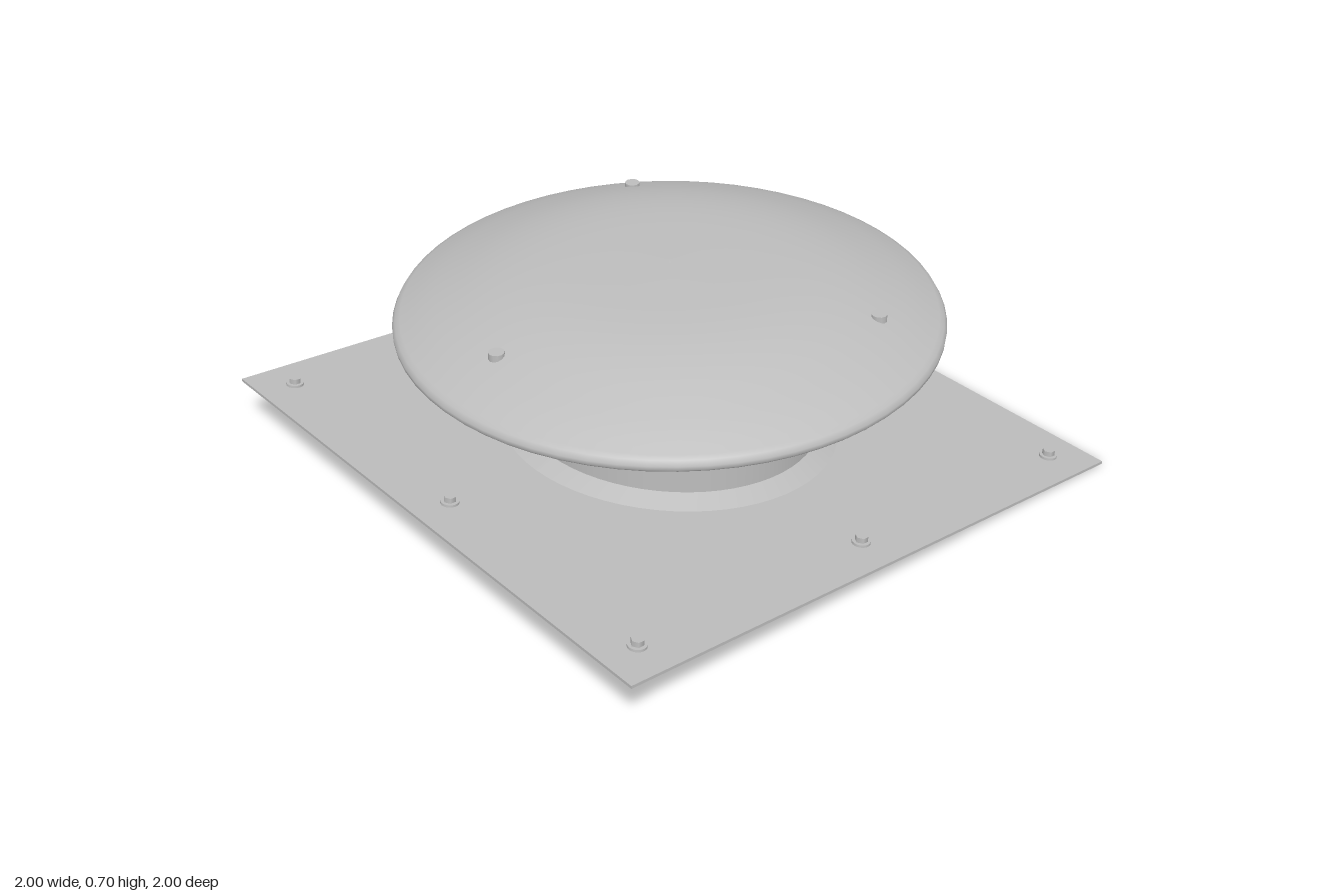
import * as THREE from 'three';

const SLOPE = 0.095; // the base plate rises towards the front
const SEGMENTS = 64;
const plateTop = (z) => 0.105 + SLOPE * z;

const metal = new THREE.MeshStandardMaterial({ color: 0xbdbdbd, side: THREE.DoubleSide });
metal.name = 'galvanised metal';

function add(parent, name, geometry) {
  const mesh = new THREE.Mesh(geometry, metal);
  mesh.name = name;
  parent.add(mesh);
  return mesh;
}

// Moves vertices up or down by a rule on (y, z) and refreshes the normals
function moveY(geometry, rule, recompute = true) {
  const p = geometry.attributes.position;
  for (let i = 0; i < p.count; i++) p.setY(i, rule(p.getY(i), p.getZ(i)));
  if (recompute) geometry.computeVertexNormals();
  return geometry;
}

// Hexagonal bolt on a round washer, standing on y = 0
function createBolt() {
  const bolt = new THREE.Group();
  bolt.name = 'plateBolt';
  add(bolt, 'washer', new THREE.CylinderGeometry(0.029, 0.029, 0.008, 20)).position.y = 0.004;
  add(bolt, 'boltHead', new THREE.CylinderGeometry(0.02, 0.02, 0.018, 6)).position.y = 0.016;
  return bolt;
}

// Domed cap: hollow underside, rolled rim, then the outer skin
function createCap() {
  const v = (x, y) => new THREE.Vector2(x, y);
  const inner = new THREE.SplineCurve([
    v(0, 0.692), v(0.34, 0.682), v(0.55, 0.649), v(0.73, 0.588), v(0.845, 0.53),
  ]).getPoints(20);
  const rim = [v(0.846, 0.512), v(0.855, 0.505), v(0.865, 0.507), v(0.872, 0.515), v(0.873, 0.528)];
  const outer = new THREE.SplineCurve([
    v(0.864, 0.544), v(0.74, 0.601), v(0.55, 0.664), v(0.34, 0.695), v(0, 0.705),
  ]).getPoints(20);
  return new THREE.LatheGeometry([...inner, ...rim, ...outer], SEGMENTS);
}

// Thin bracket from the pipe wall to the cap, drawn as (radius, height)
function createBracket() {
  const outline = [[0.484, 0.24], [0.502, 0.24], [0.695, 0.607], [0.62, 0.632], [0.484, 0.325]];
  const shape = new THREE.Shape(outline.map(([x, y]) => new THREE.Vector2(x, y)));
  const geometry = new THREE.ExtrudeGeometry(shape, { depth: 0.014, bevelEnabled: false });
  return geometry.translate(0, 0, -0.007);
}

export function createModel() {
  const model = new THREE.Group();
  model.name = 'roofVent';

  // Sloping base plate
  add(model, 'basePlate', moveY(new THREE.BoxGeometry(2, 0.01, 2), (y, z) => y + 0.1 + SLOPE * z));

  // Flared collar lying on the plate
  add(model, 'collar', moveY(
    new THREE.CylinderGeometry(0.487, 0.55, 0.03, SEGMENTS, 1, true),
    (y, z) => y + 0.015 + plateTop(z),
  ));

  // Upright pipe, its lower end cut along the plate
  add(model, 'pipe', moveY(
    new THREE.CylinderGeometry(0.485, 0.485, 1, SEGMENTS, 1, true),
    (y, z) => (y > 0 ? 0.515 : plateTop(z)),
    false,
  ));

  // Bead around the pipe
  const bead = add(model, 'pipeBead', new THREE.TorusGeometry(0.49, 0.016, 10, SEGMENTS));
  bead.rotation.x = Math.PI / 2;
  bead.position.y = 0.273;

  add(model, 'cap', createCap());

  // Three brackets, each bolted through the cap
  for (let i = 0; i < 3; i++) {
    const support = new THREE.Group();
    support.name = 'capSupport';
    support.rotation.y = -Math.PI / 2 + (i * Math.PI * 2) / 3;
    add(support, 'bracket', createBracket());
    add(support, 'capBolt', new THREE.CylinderGeometry(0.025, 0.025, 0.034, 12)).position.set(0.675, 0.623, 0);
    model.add(support);
  }

  // Eight bolts along the edges of the plate
  for (const x of [-1, 0, 1]) {
    for (const z of [-1, 0, 1]) {
      if (x === 0 && z === 0) continue;
      const bolt = createBolt();
      bolt.position.set(x * 0.875, plateTop(z * 0.875), z * 0.875);
      bolt.rotation.x = -Math.atan(SLOPE);
      model.add(bolt);
    }
  }
  return model;
}
